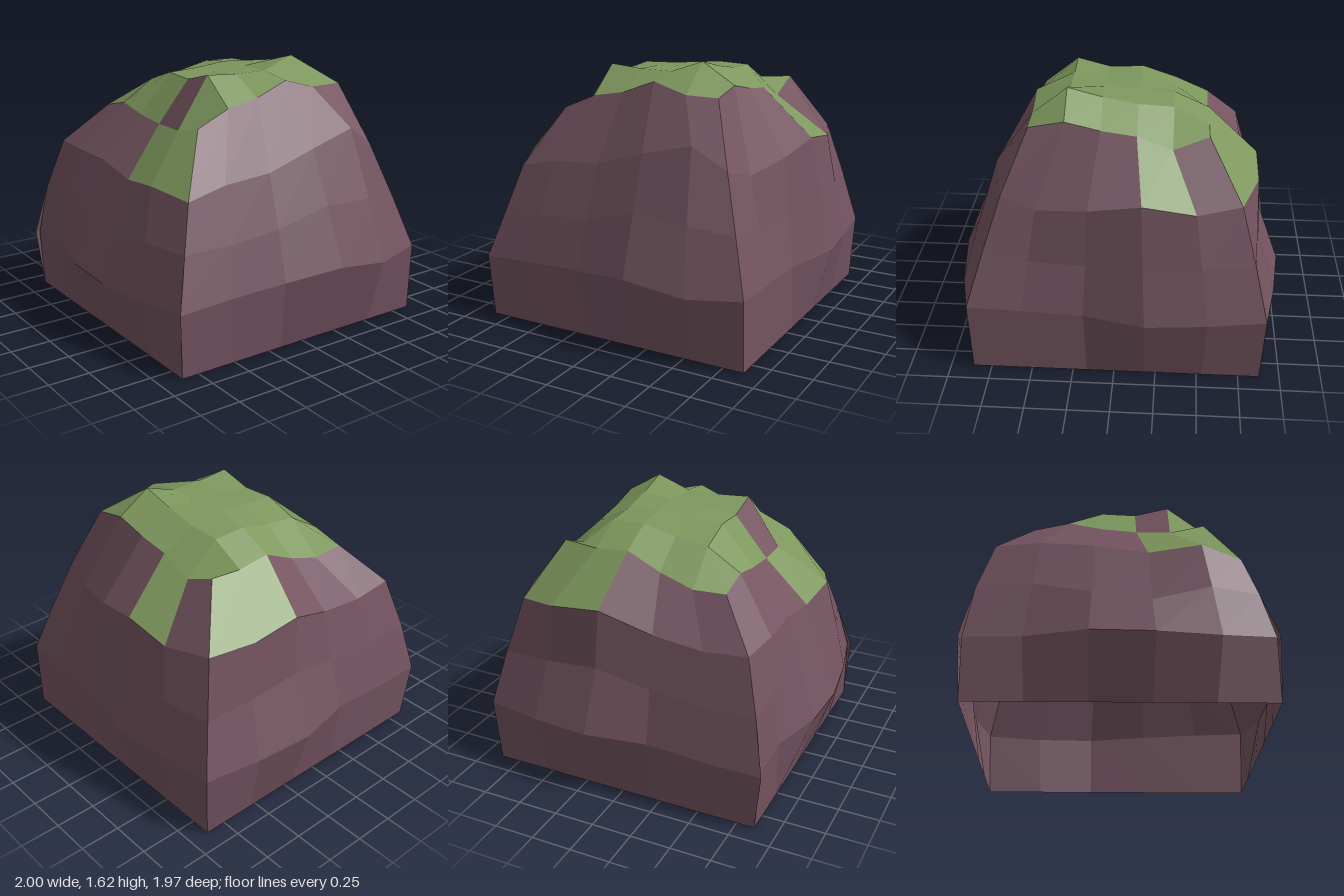
import * as THREE from 'three';

// Each wall runs left to right as seen from outside: [outward distance, height] rows,
// from the bulging lower row up to the shoulder. Green lists mossy shoulder cells.
const WALLS = [
  { name: 'frontWall', green: [3, 4], rows: [
    [[.88, .87, .97, .98, .93, .86], [.37, .38, .38, .37, .37, .39]],
    [[.83, .83, .87, .90, .87, .79], [.70, .73, .66, .60, .70, .69]],
    [[.74, .77, .76, .77, .80, .71], [1.02, 1.03, 1.02, .97, 1.01, .96]]] },
  { name: 'rightWall', green: [], rows: [
    [[.88, .89, .92, 1.0, .96, .88], [.39, .41, .43, .47, .41, .43]],
    [[.79, .82, .83, .86, .85, .78], [.69, .70, .73, .82, .80, .755]],
    [[.71, .72, .72, .73, .715, .67], [.96, 1.02, 1.04, 1.14, 1.22, 1.09]]] },
  { name: 'backWall', green: [3], rows: [
    [[.88, .88, .88, .985, .94, .90], [.43, .42, .40, .41, .40, .41]],
    [[.78, .80, .83, .92, .88, .82], [.755, .72, .72, .73, .75, .75]],
    [[.67, .72, .80, .84, .83, .73], [1.09, 1.02, 1.07, 1.13, 1.08, 1.09]]] },
  { name: 'leftWall', green: [0, 1], rows: [
    [[.90, .96, 1.0, .91, .91, .90], [.41, .41, .42, .40, .38, .37]],
    [[.82, .85, .86, .83, .84, .83], [.75, .77, .80, .72, .70, .70]],
    [[.73, .83, .83, .76, .75, .74], [1.09, 1.13, 1.16, 1.04, 1.00, 1.02]]] },
];

// Heights of the crown, from the back row to the front, each from -x to +x
const CROWN = [
  [1.43, 1.34, 1.42, 1.45, 1.50, 1.46],
  [1.41, 1.52, 1.53, 1.57, 1.625, 1.46],
  [1.43, 1.525, 1.55, 1.55, 1.55, 1.52],
  [1.33, 1.48, 1.53, 1.54, 1.55, 1.44],
  [1.26, 1.45, 1.52, 1.51, 1.565, 1.40],
  [1.27, 1.32, 1.28, 1.26, 1.26, 1.31],
];
const TOP = 0.523, BASE = 0.87, N = 5;
// The foot and the crown sit slightly off centre
const SHIFT = new THREE.Vector3(-0.008, 0, -0.01);
// Half width over which the inner columns of each wall row are spread
const SPREAD = [BASE, 0.92, 0.85, 0.78, TOP];

// Sheet from rows of points: one flat normal and one material index per four-sided cell
function sheet(grid, pick, materials, name) {
  const pos = [], nor = [];
  const geo = new THREE.BufferGeometry();
  for (let r = 0; r < grid.length - 1; r++) {
    for (let c = 0; c < N; c++) {
      const a = grid[r][c], b = grid[r][c + 1], d = grid[r + 1][c], e = grid[r + 1][c + 1];
      const n = e.clone().sub(a).cross(d.clone().sub(b)).normalize();
      geo.addGroup(pos.length / 3, 6, pick(r, c));
      for (const p of [a, b, e, a, e, d]) {
        pos.push(p.x, p.y, p.z);
        nor.push(n.x, n.y, n.z);
      }
    }
  }
  geo.setAttribute('position', new THREE.Float32BufferAttribute(pos, 3));
  geo.setAttribute('normal', new THREE.Float32BufferAttribute(nor, 3));
  const mesh = new THREE.Mesh(geo, materials);
  mesh.name = name;
  return mesh;
}

export function createModel() {
  const rock = new THREE.MeshStandardMaterial({ color: 0x745460, side: THREE.DoubleSide });
  rock.name = 'mauve rock';
  const moss = new THREE.MeshStandardMaterial({ color: 0x7d975d, side: THREE.DoubleSide });
  moss.name = 'moss green';
  const materials = [rock, moss];

  const group = new THREE.Group();
  group.name = 'mossyBoulder';

  // Crown, listed front row first so the cells face up
  const crown = CROWN.map((row, r) => row.map((y, c) =>
    new THREE.Vector3(TOP * (2 * c / N - 1), y, TOP * (2 * r / N - 1)).add(SHIFT))).reverse();
  group.add(sheet(crown, (r, c) => (r === 0 && c === 3 ? 0 : 1), materials, 'crown'));

  // Four walls, open underneath, each turned a quarter further round
  const rim = [
    i => CROWN[N][i], i => CROWN[N - i][N], i => CROWN[0][N - i], i => CROWN[i][0],
  ];
  const up = new THREE.Vector3(0, 1, 0);
  const ids = [0, 1, 2, 3, 4, 5];
  WALLS.forEach((wall, k) => {
    const rows = [
      [ids.map(() => BASE), ids.map(() => 0)],
      ...wall.rows,
      [ids.map(() => TOP), ids.map(rim[k])],
    ];
    // Corner columns lie on the diagonal of the neighbouring walls
    const grid = rows.map(([out, y], level) => ids.map(i => {
      const half = i === 0 || i === N ? out[i] : SPREAD[level];
      const p = new THREE.Vector3(half * (2 * i / N - 1), y[i], out[i]).applyAxisAngle(up, k * Math.PI / 2);
      return level === 0 || level === 4 ? p.add(SHIFT) : p;
    }));
    group.add(sheet(grid, (r, c) => (r === 3 && wall.green.includes(c) ? 1 : 0), materials, wall.name));
  });
  return group;
}
